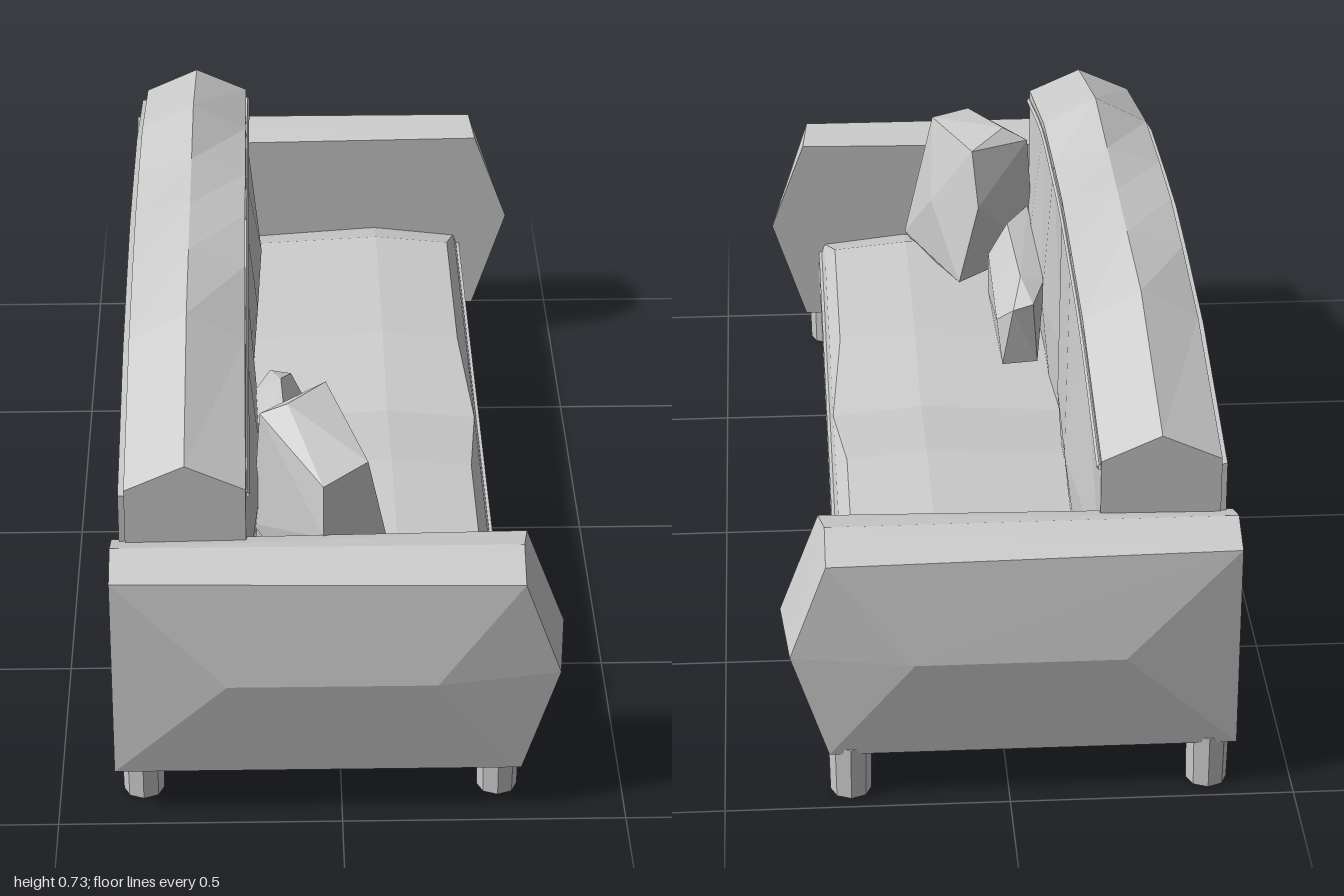
import * as THREE from 'three';
import { ConvexGeometry } from 'three/addons/geometries/ConvexGeometry.js';

const material = new THREE.MeshStandardMaterial({ color: 0xcccccc, flatShading: true, side: THREE.DoubleSide });

export function createModel() {
  const model = new THREE.Group();
  const add = (name, geometry) => {
    const mesh = new THREE.Mesh(geometry, material);
    mesh.name = name;
    model.add(mesh);
    return mesh;
  };
  const hull = (name, points) => add(name, new ConvexGeometry(points.map((p) => new THREE.Vector3(...p))));
  const box = (name, x0, x1, y0, y1, z) => add(name, new THREE.BoxGeometry(x1 - x0, y1 - y0, 2 * z))
    .position.set((x0 + x1) / 2, (y0 + y1) / 2, 0);

  // Closed solid through equal rings, each running counter-clockwise seen from +z
  const loft = (rings) => {
    const n = rings[0].length;
    const index = [];
    for (let i = 0; i < rings.length - 1; i++) {
      for (let j = 0; j < n; j++) {
        const a = i * n + j, b = i * n + (j + 1) % n;
        index.push(a, b, b + n, a, b + n, a + n);
      }
    }
    const last = (rings.length - 1) * n;
    for (let j = 1; j < n - 1; j++) {
      index.push(0, j + 1, j, last, last + j, last + j + 1);
    }
    const geometry = new THREE.BufferGeometry();
    geometry.setAttribute('position', new THREE.Float32BufferAttribute(rings.flat(2), 3));
    geometry.setIndex(index);
    geometry.computeVertexNormals();
    return geometry;
  };

  // Arms: faceted blocks with a bulging outer face and a pointed front
  for (const s of [1, -1]) {
    hull(s > 0 ? 'leftArm' : 'rightArm', [
      [-0.4, 0.09, 0.82], [-0.4, 0.475, 0.82], [-0.4, 0.505, 0.9], [-0.4, 0.475, 0.97], [-0.4, 0.09, 0.97],
      [-0.2, 0.283, 1], [0.165, 0.283, 1],
      [0.315, 0.09, 0.97], [0.38, 0.285, 0.965], [0.315, 0.465, 0.97], [0.315, 0.505, 0.9],
      [0.325, 0.09, 0.82], [0.395, 0.3, 0.82], [0.325, 0.485, 0.82],
    ].map(([x, y, z]) => [x, y, s * z]));
  }

  // Legs
  for (const x of [-0.352, 0.278]) {
    for (const z of [0.888, -0.938]) {
      add('leg', new THREE.CylinderGeometry(0.038, 0.036, 0.1, 8)).position.set(x, 0.05, z);
    }
  }

  // Arched backrest: z, shoulder height, ridge height, cushion bulge
  const half = [[0, 0.705, 0.73, 0], [0.2, 0.695, 0.73, 0.022], [0.46, 0.675, 0.73, 0.03], [0.85, 0.59, 0.637, 0]];
  const arch = [...half.slice(1).reverse().map(([z, ...r]) => [-z, ...r]), ...half];
  add('backrest', loft(arch.map(([z, e, r, b]) => [
    [-0.375, 0.1, z], [-0.165, 0.1, z], [-0.165 + b, 0.4, z], [-0.165, e, z], [-0.27, r, z], [-0.375, e, z],
  ])));
  add('backPanel', loft(arch.map(([z, e]) => [
    [-0.386, 0.1, z * 0.985], [-0.37, 0.1, z * 0.985], [-0.37, e - 0.017, z * 0.985], [-0.386, e - 0.017, z * 0.985],
  ])));

  // Thin piping along the front of the arch
  add('backPiping', new THREE.TubeGeometry(new THREE.CatmullRomCurve3(
    arch.map(([z, e]) => new THREE.Vector3(-0.164, e - 0.017, z * 0.985))), 24, 0.006, 5));

  // Seat base with stepped front rails
  box('seatBase', -0.375, 0.275, 0.1, 0.235, 0.83);
  box('upperRail', 0.2, 0.295, 0.17, 0.235, 0.83);
  box('middleRail', 0.2, 0.286, 0.145, 0.172, 0.83);
  box('lowerRail', 0.2, 0.291, 0.12, 0.147, 0.83);

  // Two domed seat cushions meeting in a crease
  for (const s of [1, -1]) {
    const points = [];
    for (const [z, front, mid] of [[0, 0.255, 0.272], [0.26, 0.295, 0.31], [0.7, 0.295, 0.31], [0.83, 0.25, 0.27]]) {
      points.push([-0.17, 0.23, s * z], [0.29, 0.23, s * z], [0.283, Math.min(front, 0.26), s * z],
        [0.262, front, s * z], [0.11, mid, s * z], [-0.17, front, s * z]);
    }
    hull(s > 0 ? 'leftSeatCushion' : 'rightSeatCushion', points);
  }

  // Scalloped skirt on all four sides
  const skirt = (length, waves) => {
    const shape = new THREE.Shape();
    shape.moveTo(-length / 2, 0.125);
    const steps = waves * 6;
    for (let i = 0; i <= steps; i++) {
      const t = i / steps;
      shape.lineTo((t - 0.5) * length, 0.04 + 0.024 * Math.pow(Math.abs(Math.cos(t * waves * Math.PI)), 2));
    }
    shape.lineTo(length / 2, 0.125);
    return new THREE.ExtrudeGeometry(shape, { depth: 0.012, bevelEnabled: false });
  };
  for (const x of [-0.386, 0.272]) {
    const side = add('longSkirt', skirt(1.68, 7));
    side.rotation.y = Math.PI / 2;
    side.position.x = x;
  }
  for (const z of [-0.84, 0.828]) add('endSkirt', skirt(0.67, 7)).position.set(-0.051, 0, z);

  // Throw pillows leaning at the left end
  hull('largePillow', [
    [-0.02, 0.605, 0.49], [0.05, 0.58, 0.74], [0.11, 0.31, 0.755], [0.09, 0.28, 0.755], [0.01, 0.335, 0.435],
    [-0.03, 0.5, 0.44], [-0.09, 0.615, 0.59], [-0.14, 0.59, 0.58], [-0.155, 0.35, 0.56],
    [-0.03, 0.57, 0.81], [-0.03, 0.48, 0.83], [-0.02, 0.28, 0.79], [-0.09, 0.31, 0.58], [0.06, 0.45, 0.6],
  ]);
  hull('smallPillow', [
    [-0.1, 0.455, 0.2], [-0.12, 0.43, 0.12], [-0.08, 0.42, 0.115], [-0.05, 0.38, 0.16], [-0.06, 0.295, 0.13],
    [-0.13, 0.3, 0.13], [-0.15, 0.44, 0.22], [-0.15, 0.3, 0.55], [-0.05, 0.31, 0.44], [-0.05, 0.4, 0.43],
    [-0.09, 0.46, 0.45], [-0.14, 0.45, 0.56], [-0.1, 0.36, 0.59],
  ]);

  return model;
}
